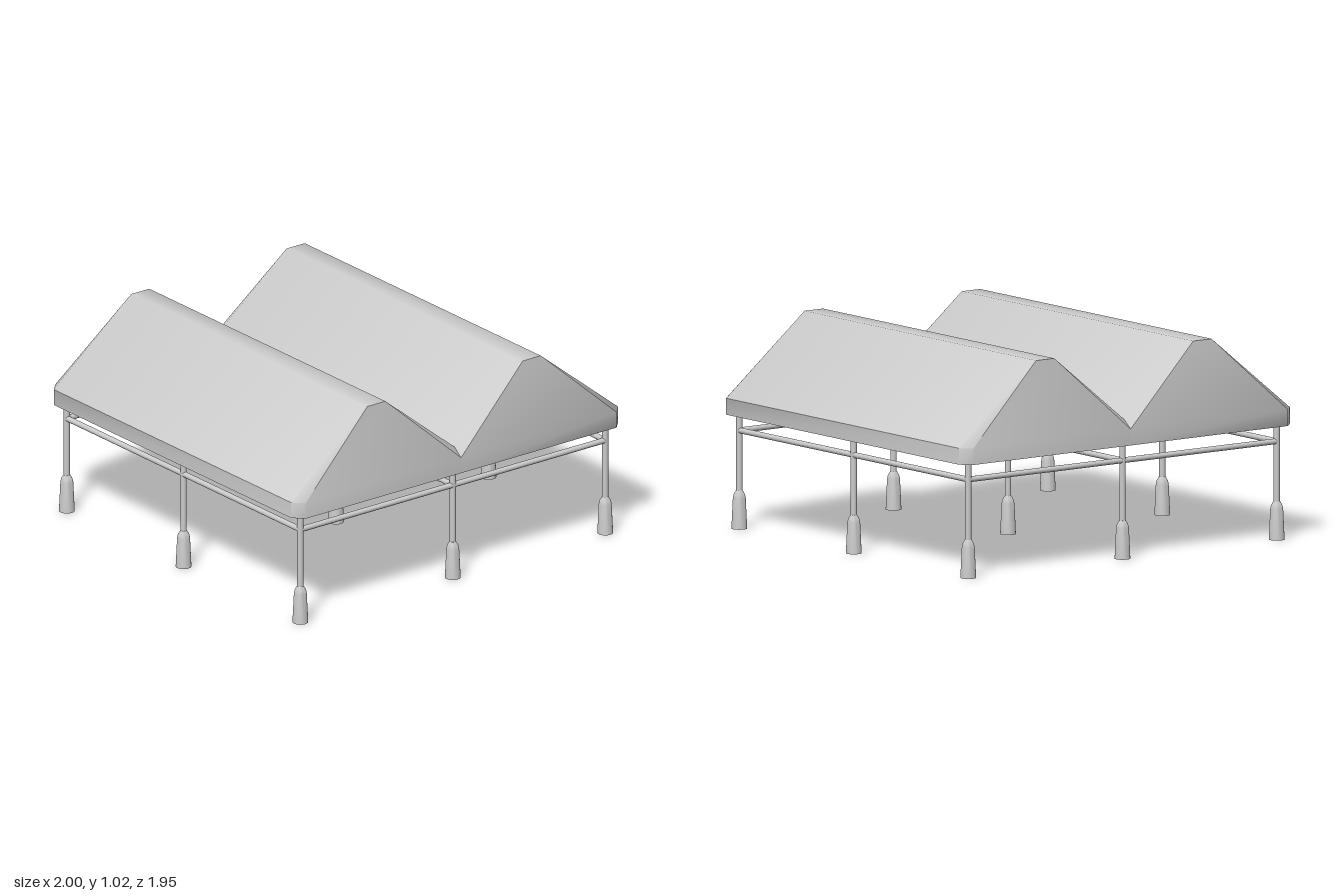
import * as THREE from 'three';
import { toCreasedNormals } from 'three/addons/utils/BufferGeometryUtils.js';

const material = new THREE.MeshStandardMaterial({ color: 0xcccccc });

function addMesh(parent, geometry, name) {
  const mesh = new THREE.Mesh(geometry, material);
  mesh.name = name;
  parent.add(mesh);
  return mesh;
}

// One bay of the roof: valance, two slopes, flat ridge, leaning gables and cut corners.
function roofBayGeometry() {
  const plan = [[1, 0.925], [1, -0.925], [0.95, -0.975], [0, -0.975], [0, 0.975], [0.95, 0.975]];
  const low = plan.map(([x, z]) => [x, 0.56, z]);
  const eave = plan.map(([x, z]) => [x, 0.64, z]);
  const [A, B, C, D, E, F] = eave;
  const P = [0.53, 1.02, 0.92], Q = [0.53, 1.02, -0.92];
  const R = [0.42, 1.02, -0.92], S = [0.42, 1.02, 0.92];
  const V = [0, 0.68, -0.925], W = [0, 0.68, 0.925];
  const faces = [
    [A, B, Q, P], [V, W, S, R], [P, Q, R, S], // slopes and ridge
    [C, D, R, Q], [E, F, P, S],               // gables
    [B, C, Q], [F, A, P], [D, V, R], [W, E, S], // corners
    [...low].reverse(),                       // underside
  ];
  // valance, open where the two bays meet
  for (let i = 0; i < 6; i++) {
    const j = (i + 1) % 6;
    if (i !== 3) faces.push([low[i], low[j], eave[j], eave[i]]);
  }
  const positions = [];
  for (const f of faces) {
    for (let k = 1; k < f.length - 1; k++) positions.push(...f[0], ...f[k], ...f[k + 1]);
  }
  const geometry = new THREE.BufferGeometry();
  geometry.setAttribute('position', new THREE.Float32BufferAttribute(positions, 3));
  return toCreasedNormals(geometry, 0.81);
}

export function createModel() {
  const model = new THREE.Group();
  model.name = 'twinGableTent';

  // Roof, two matching bays
  const bay = roofBayGeometry();
  addMesh(model, bay, 'leftRoof');
  addMesh(model, bay, 'rightRoof').rotation.y = Math.PI;

  // Posts with weighted feet, in a three by three grid
  const X = 0.932, Z = 0.91;
  const post = new THREE.CylinderGeometry(0.015, 0.015, 0.42, 16);
  const footProfile = [[0, 0], [0.038, 0], [0.031, 0.15], [0.027, 0.168], [0.016, 0.187], [0, 0.187]]
    .map(([r, y]) => new THREE.Vector2(r, y));
  const foot = toCreasedNormals(new THREE.LatheGeometry(footProfile, 20), 0.7);
  for (const x of [-X, 0, X]) {
    for (const z of [-Z, 0, Z]) {
      const leg = new THREE.Group();
      leg.name = 'leg';
      leg.position.set(x, 0, z);
      addMesh(leg, post, 'post').position.y = 0.355;
      addMesh(leg, foot, 'foot');
      model.add(leg);
    }
  }

  // Rails: front and back, plus three running front to back
  const crossRail = new THREE.CylinderGeometry(0.014, 0.014, 2 * X, 16).rotateZ(Math.PI / 2);
  const longRail = new THREE.CylinderGeometry(0.014, 0.014, 2 * Z, 16).rotateX(Math.PI / 2);
  for (const z of [-Z, Z]) addMesh(model, crossRail, 'crossRail').position.set(0, 0.479, z);
  for (const x of [-X, 0, X]) addMesh(model, longRail, 'longRail').position.set(x, 0.479, 0);

  return model;
}
